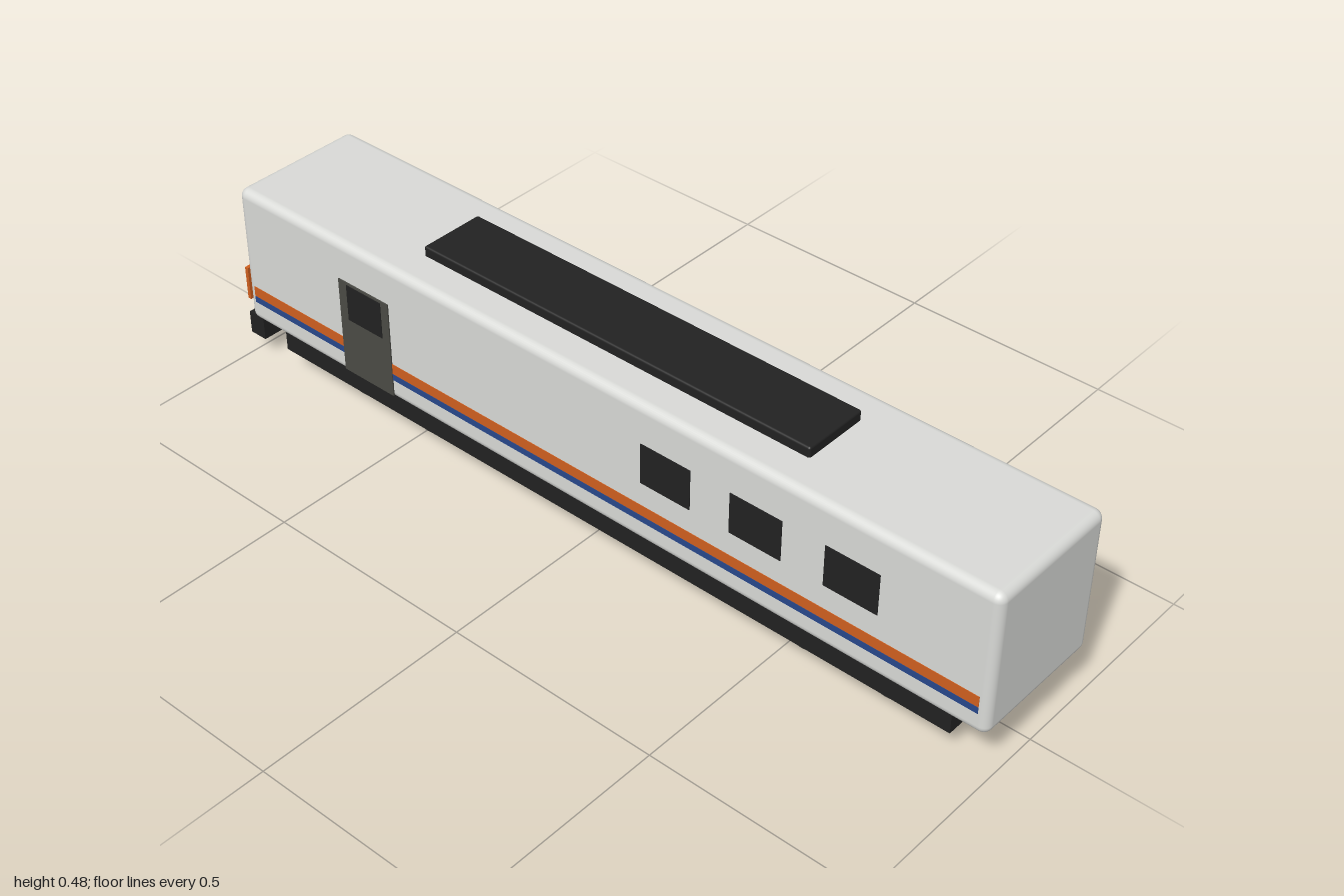
import * as THREE from 'three';
import { RoundedBoxGeometry } from 'three/addons/geometries/RoundedBoxGeometry.js';

const material = (name, color) => {
  const m = new THREE.MeshStandardMaterial({ color });
  m.name = name;
  return m;
};

export function createModel() {
  const shell = material('light grey', 0xd9dad7);
  const black = material('black', 0x222222);
  const grey = material('dark grey', 0x4b4b45);
  const orange = material('orange', 0xd0601f);
  const blue = material('blue', 0x27488c);
  const lamp = material('lamp white', 0xe4e4e0);

  const model = new THREE.Group();
  model.name = 'railCar';

  const add = (name, geometry, mat, x, y, z) => {
    const mesh = new THREE.Mesh(geometry, mat);
    mesh.name = name;
    mesh.position.set(x, y, z);
    model.add(mesh);
    return mesh;
  };
  // Box given by its limits on each axis, rounded when r > 0
  const box = (name, mat, [x0, x1], [y0, y1], [z0, z1], r = 0) => {
    const size = [x1 - x0, y1 - y0, z1 - z0];
    const geometry = r ? new RoundedBoxGeometry(...size, 4, r) : new THREE.BoxGeometry(...size);
    return add(name, geometry, mat, (x0 + x1) / 2, (y0 + y1) / 2, (z0 + z1) / 2);
  };

  // Body, underframe, roof unit and coupling beam
  box('body', shell, [-0.162, 0.162], [0.12, 0.455], [-0.967, 1], 0.02);
  box('underframe', black, [-0.145, 0.145], [0.067, 0.125], [-0.875, 0.915]);
  box('roofUnit', black, [-0.078, 0.078], [0.45, 0.478], [-0.485, 0.515], 0.005);
  box('bufferBeam', black, [-0.141, 0.141], [0.053, 0.108], [-1, -0.955]);

  // Side details, mirrored
  for (const s of [1, -1]) {
    const side = (name, mat, out, y, z) => {
      const x = [s * (out - 0.007), s * out].sort((a, b) => a - b);
      box(name, mat, x, y, z);
    };
    side('orangeStripe', orange, 0.1632, [0.187, 0.212], [-0.945, 0.978]);
    side('blueStripe', blue, 0.1632, [0.171, 0.186], [-0.945, 0.978]);
    for (const z of [0.686, 0.462, 0.241])
      side('window', black, 0.164, [0.268, 0.363], [z - 0.062, z + 0.062]);
    side('door', grey, 0.165, [0.13, 0.363], [-0.66, -0.513]);
    side('doorWindow', black, 0.1665, [0.27, 0.358], [-0.635, -0.534]);
    // Cab headlight
    add('headlight', new THREE.SphereGeometry(0.017, 20, 14), lamp, s * 0.104, 0.27, -0.962);
  }

  // Cab end
  box('windshield', black, [-0.14, 0.14], [0.297, 0.402], [-0.972, -0.964]);
  box('cabPanel', orange, [-0.16, 0.16], [0.167, 0.248], [-0.974, -0.965]);

  // Bogies with two axles each
  const wheel = new THREE.CylinderGeometry(0.05, 0.05, 0.014, 28).rotateZ(Math.PI / 2);
  for (const z of [0.63, -0.598]) {
    box('bogieFrame', black, [-0.123, 0.123], [0.053, 0.08], [z - 0.135, z + 0.135]);
    for (const dz of [-0.101, 0.101])
      for (const x of [-0.081, 0.081]) add('wheel', wheel, grey, x, 0.05, z + dz);
  }
  return model;
}
